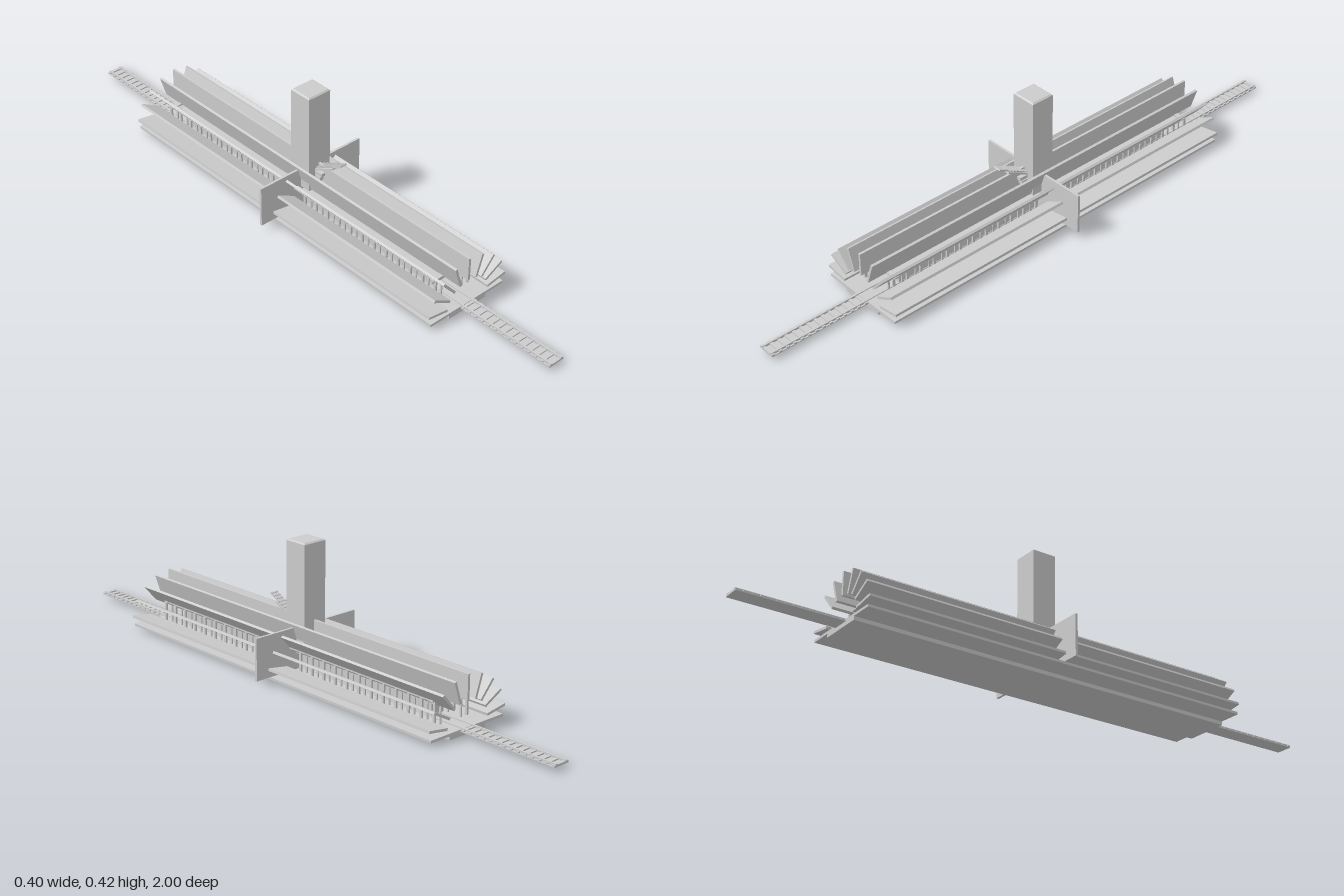
import * as THREE from 'three';

export function createModel() {
  const model = new THREE.Group();
  model.name = 'station';
  const grey = new THREE.MeshStandardMaterial({ color: 0xcccccc });
  grey.name = 'light grey';

  function group(name, parent = model) {
    const g = new THREE.Group();
    g.name = name;
    parent.add(g);
    return g;
  }
  // box given by its limits on each axis
  function box(name, x0, x1, y0, y1, z0, z1, parent = model) {
    const m = new THREE.Mesh(new THREE.BoxGeometry(x1 - x0, y1 - y0, z1 - z0), grey);
    m.name = name;
    m.position.set((x0 + x1) / 2, (y0 + y1) / 2, (z0 + z1) / 2);
    parent.add(m);
    return m;
  }

  // ground slab and side platforms
  const L = 0.665;
  box('baseSlab', -0.073, 0.073, 0, 0.02, -L, L);
  for (const s of [-1, 1]) {
    box('sidePlatform', s > 0 ? 0.073 : -0.147, s > 0 ? 0.147 : -0.073, 0.012, 0.02, -L, L);
  }

  // railway track: bed, two rails, sleepers
  const track = group('track');
  box('trackBed', -0.028, 0.028, 0.013, 0.016, -1, 1, track);
  for (const s of [-1, 1]) {
    box('rail', s * 0.02 - 0.003, s * 0.02 + 0.003, 0.016, 0.023, -1, 1, track);
  }
  for (let i = 0; i <= 80; i++) {
    const z = -0.995 + i * (1.99 / 80);
    box('sleeper', -0.028, 0.028, 0.016, 0.02, z - 0.005, z + 0.005, track);
  }

  // fan of long roof fins: inner end, outer end (x, y)
  const fins = group('roofFins');
  const profile = [
    [0.081, 0.035, 0.154, 0.046],
    [0.072, 0.063, 0.136, 0.097],
    [0.054, 0.085, 0.101, 0.138],
    [0.031, 0.096, 0.054, 0.166]
  ];
  function fin(x0, y0, x1, y1) {
    const m = new THREE.Mesh(
      new THREE.BoxGeometry(Math.hypot(x1 - x0, y1 - y0), 0.008, 2 * L), grey);
    m.name = 'roofFin';
    m.position.set((x0 + x1) / 2, (y0 + y1) / 2, 0);
    m.rotation.z = Math.atan2(y1 - y0, x1 - x0);
    fins.add(m);
  }
  for (const [x0, y0, x1, y1] of profile) {
    fin(x0, y0, x1, y1);
    fin(-x0, y0, -x1, y1);
  }
  fin(0, 0.102, 0, 0.177);

  // colonnades carrying the roof
  const columns = group('columns');
  for (const s of [-1, 1]) {
    for (let i = 0; i < 25; i++) {
      const z = -0.6 + i * 0.05;
      box('outerColumn', s * 0.066 - 0.003, s * 0.066 + 0.003, 0.02, 0.093, z - 0.004, z + 0.004, columns);
      box('innerColumn', s * 0.042 - 0.002, s * 0.042 + 0.002, 0.02, 0.076, z - 0.003, z + 0.003, columns);
    }
    box('roofBeam', s * 0.062 - 0.008, s * 0.062 + 0.008, 0.092, 0.097, -0.6, 0.6, columns);
    box('endBeam', -0.073, 0.073, 0.092, 0.097, s * 0.592 - 0.008, s * 0.592 + 0.008, columns);
  }
  box('canopy', -0.046, 0.046, 0.074, 0.078, -0.58, 0.58);

  // carriage standing on the track
  const carriage = group('carriage');
  box('carriageBody', -0.025, 0.025, 0.027, 0.07, -0.55, 0.55, carriage);
  for (const s of [-1, 1]) {
    box('endWindow', -0.013, 0.013, 0.054, 0.059, s * 0.551 - 0.002, s * 0.551 + 0.002, carriage);
  }

  // cross wall and tower with a slightly bevelled cap
  box('crossWall', -0.2, 0.2, 0.02, 0.154, -0.004, 0.004);
  box('tower', -0.042, 0.042, 0.09, 0.417, -0.04, 0.04);
  const cap = new THREE.Mesh(new THREE.CylinderGeometry(0.037 * Math.SQRT2, 0.042 * Math.SQRT2, 0.004, 4, 1), grey);
  cap.name = 'towerCap';
  cap.geometry.rotateY(Math.PI / 4);
  cap.geometry = cap.geometry.toNonIndexed();
  cap.geometry.computeVertexNormals();
  cap.scale.z = 0.04 / 0.042;
  cap.position.y = 0.419;
  model.add(cap);

  // sloping ribbed arm in front of the tower, in two telescoping lengths
  const arm = group('slopingArm');
  arm.position.set(0, 0.16, 0.04);
  arm.rotation.x = -0.48;
  box('lowerArm', -0.018, 0.018, -0.004, 0.002, -0.06, 0.085, arm);
  box('upperArm', -0.013, 0.013, 0.002, 0.006, -0.03, 0.122, arm);
  for (let i = 0; i < 9; i++) {
    const z = 0.01 + i * 0.0135;
    const w = z < 0.08 ? 0.018 : 0.013;
    box('armRib', -w, w, 0.005, 0.008, z - 0.002, z + 0.002, arm);
  }
  // stepped bracket below the arm
  for (let i = 0; i < 5; i++) {
    box('bracketStep', -0.018, 0.018, 0.085 + i * 0.015, 0.096 + i * 0.015, 0.03, 0.045 + i * 0.006);
  }

  return model;
}
